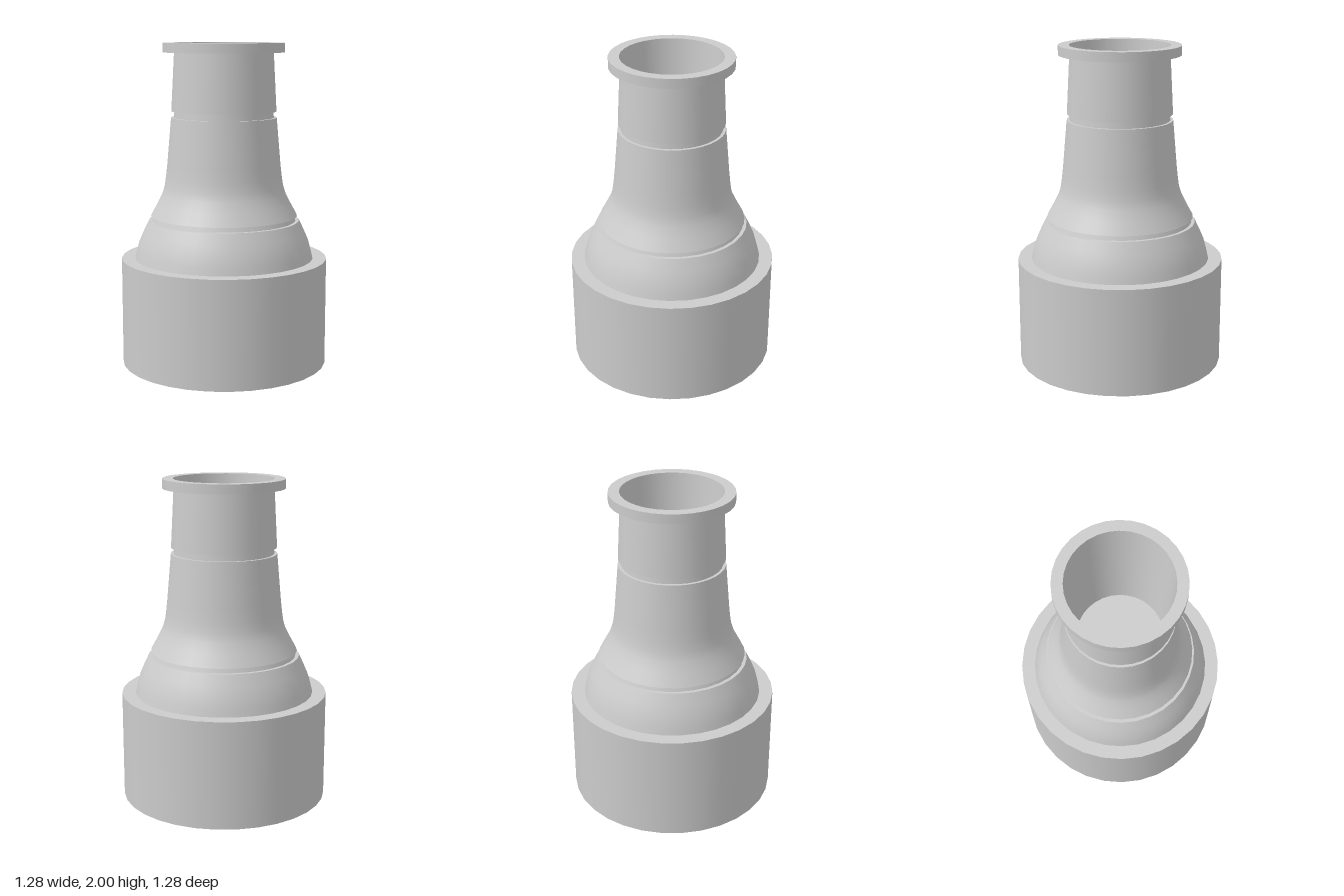
import * as THREE from 'three';

const SIDES = 32;
const material = new THREE.MeshStandardMaterial({ color: 0xcccccc });

// Revolves [radius, height] runs; each run is smooth, with a sharp edge between runs.
// Runs are listed from bottom to top along the outside.
function turned(name, runs) {
  const part = new THREE.Group();
  part.name = name;
  runs.forEach((run, i) => {
    const points = run.map(([r, y]) => new THREE.Vector2(r, y));
    const mesh = new THREE.Mesh(new THREE.LatheGeometry(points, SIDES), material);
    mesh.name = `${name}Surface${i + 1}`;
    part.add(mesh);
  });
  return part;
}

// Splits a sharp-edged profile into one straight run per edge
const sharp = (profile) => profile.slice(1).map((p, i) => [profile[i], p]);

export function createModel() {
  const model = new THREE.Group();
  model.name = 'flaredVessel';

  // Wide cylindrical base with a flat top ledge
  model.add(turned('base', sharp([[0, 0], [0.642, 0], [0.642, 0.668], [0.55, 0.668]])));

  // Rounded shoulder rising out of the base
  model.add(turned('shoulder', [
    [[0.558, 0.668], [0.548, 0.71], [0.532, 0.77], [0.504, 0.835], [0.47, 0.905]],
  ]));

  // Recessed groove between shoulder and neck
  model.add(turned('lowerGroove', sharp([[0.47, 0.905], [0.448, 0.905], [0.437, 0.935], [0.457, 0.935]])));

  // Flared neck
  model.add(turned('neck', [
    [[0.457, 0.935], [0.416, 1.01], [0.386, 1.07], [0.37, 1.12], [0.361, 1.18], [0.352, 1.26], [0.327, 1.545]],
  ]));

  // Recessed groove below the collar
  model.add(turned('upperGroove', sharp([[0.327, 1.545], [0.309, 1.545], [0.306, 1.583], [0.325, 1.583]])));

  // Upper neck
  model.add(turned('collar', sharp([[0.325, 1.583], [0.306, 1.942]])));

  // Flat flange around the mouth
  model.add(turned('rim', sharp([[0.306, 1.942], [0.374, 1.942], [0.374, 2], [0.308, 2]])));

  // Tapered cavity with a flat floor
  model.add(turned('cavity', sharp([[0.308, 2], [0.265, 1.2], [0, 1.2]])));

  return model;
}
